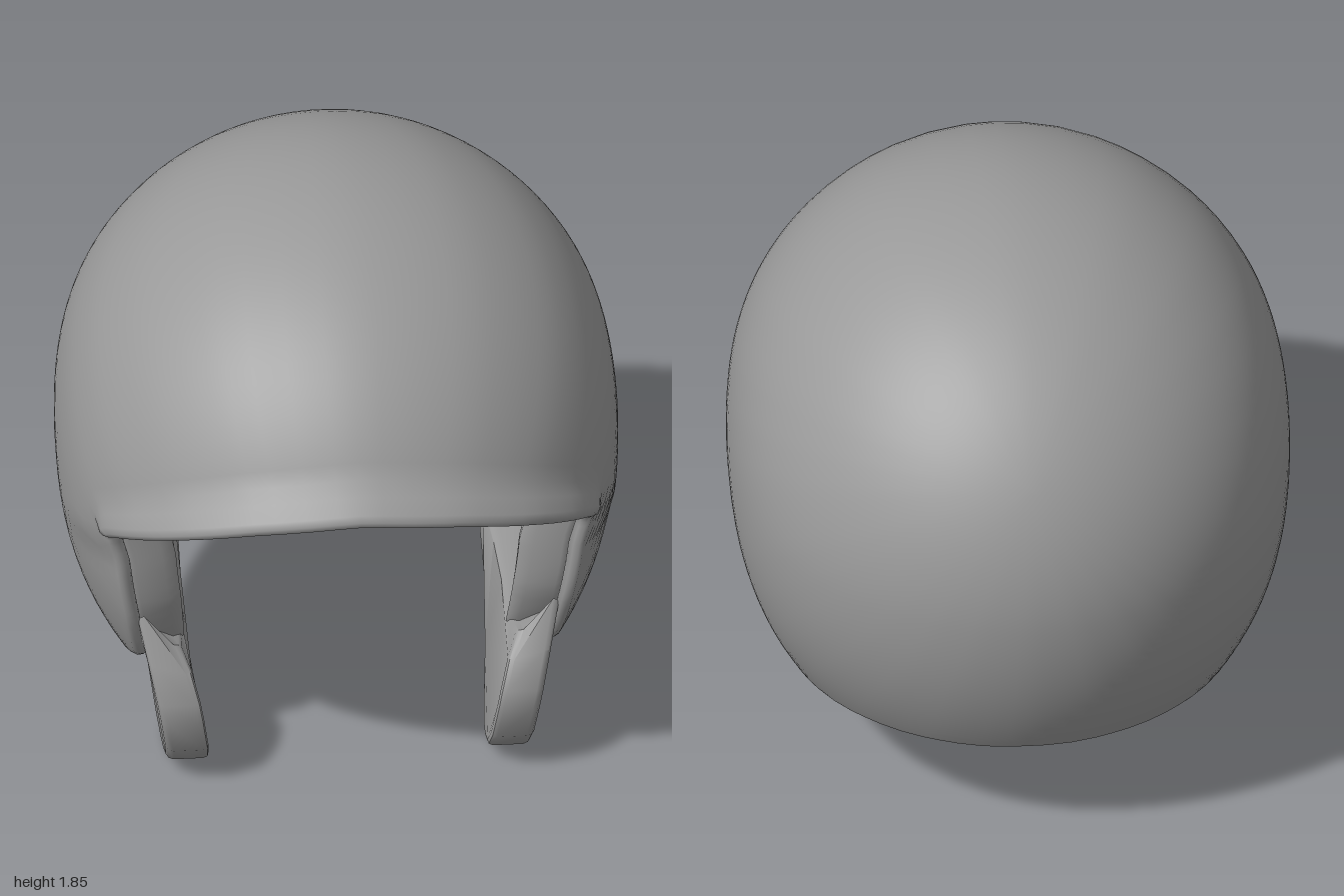
import * as THREE from 'three';
import { mergeVertices, toCreasedNormals } from 'three/addons/utils/BufferGeometryUtils.js';

const CY = 0.95, RX = 0.85, RY_TOP = 0.9, RY_LOW = 1.05;
const step = THREE.MathUtils.smoothstep;
const clamp = THREE.MathUtils.clamp;

// Half of the rim as [z, y], from the brim centre round the cheek to the nape
const HALF_RIM = [
  [0.943, 1.25], [0.9, 1.205], [0.8, 1.125], [0.68, 1.04], [0.57, 0.965],
  [0.55, 0.9], [0.545, 0.75], [0.52, 0.6], [0.42, 0.41], [0.28, 0.335],
  [0.1, 0.3], [-0.1, 0.315], [-0.4, 0.35], [-0.65, 0.385], [-0.8, 0.402], [-0.858, 0.41],
];

// Rim as directions on a unit sphere that is later stretched to the shell
function rimDirections() {
  const last = HALF_RIM.length - 1;
  const half = HALF_RIM.map(([z, y], i) => {
    const v = (y - CY) / (y > CY ? RY_TOP : RY_LOW);
    const x = i === 0 || i === last ? 0 : Math.sqrt(Math.max(0, 1 - v * v - z * z));
    return new THREE.Vector3(x, v, z);
  });
  const other = half.slice(1, -1).reverse().map((p) => new THREE.Vector3(-p.x, p.y, p.z));
  const all = [...half, ...other];
  const curve = new THREE.CatmullRomCurve3(all, true, 'catmullrom', 0.3);
  return curve.getPoints(all.length * 4).slice(0, -1).map((p) => p.normalize());
}

// Stretch a unit direction to the shell, with brim flare, recessed cheeks and front padding
function shellPoint(u, t, s) {
  const up = u.y > 0;
  const pad = clamp((0.93 - s) / 0.13, 0, 1);
  let x = u.x * RX * s * (1 + 0.045 * (1 - u.x ** 8));
  let y = CY + u.y * (up ? RY_TOP * s : RY_LOW);
  let z = u.z * (1 - (1 - s) * 0.6);
  x *= 1 - 0.11 * pad * step(z, 0, 0.45);
  y -= 0.045 * pad * step(z, 0.3, 0.75) * step(u.y, 0, 0.2);
  const line = 0.72 + 0.42 * z;
  const inset = 0.03 * step(line - y, 0, 0.13) * step(z, 0, 0.45);
  x *= 1 - inset;
  z *= 1 - inset * 0.3;
  if (s > 0.9 && up) {
    const flare = 0.057 * clamp((t - 0.95) / 0.037, 0, 1) * step(z, 0.3, 0.85);
    const r = Math.hypot(x, z) || 1;
    x += (x / r) * flare;
    z += (z / r) * flare;
  }
  return [x, y, z];
}

// Sweep rows of [t, scale] from a pole at the back of the head out to the rim
function domeGeometry(rows) {
  const pole = new THREE.Vector3(0, 0.5, -0.866).normalize();
  const rim = rimDirections();
  const n = rim.length;
  const pos = [], index = [];
  rows.forEach(([t, s], r) => {
    rim.forEach((d, i) => {
      const angle = pole.angleTo(d);
      const side = d.clone().addScaledVector(pole, -pole.dot(d)).normalize();
      const u = pole.clone().multiplyScalar(Math.cos(angle * t))
        .addScaledVector(side, Math.sin(angle * t));
      pos.push(...shellPoint(u, t, s));
      if (r === rows.length - 1) return;
      const j = (i + 1) % n;
      const a = r * n + i, b = a + n, c = (r + 1) * n + j, e = r * n + j;
      index.push(a, b, c, a, c, e);
    });
  });
  let geo = new THREE.BufferGeometry();
  geo.setAttribute('position', new THREE.Float32BufferAttribute(pos, 3));
  geo.setIndex(index);
  geo = mergeVertices(geo, 1e-5);
  geo.computeVertexNormals();
  return geo;
}

// Ear flap: rounded outline, bevelled, leaning inward, its inner top edge cut lower
function flapGeometry() {
  const outline = [
    [0.5, 0.6], [0.56, 0.45], [0.597, 0.33], [0.595, 0.26], [0.56, 0.14], [0.48, 0.055],
    [0.38, 0.01], [0.3, 0], [0.2, 0.03], [0.05, 0.12], [-0.1, 0.23], [-0.33, 0.345],
    [-0.3, 0.42], [-0.1, 0.42], [0.1, 0.42], [0.27, 0.45], [0.4, 0.51],
  ];
  const shape = new THREE.Shape(outline.map(([z, y]) => new THREE.Vector2(-z, y)));
  const geo = new THREE.ExtrudeGeometry(shape, {
    depth: 0.09, bevelEnabled: true, bevelThickness: 0.02, bevelSize: 0.018,
    bevelOffset: -0.018, bevelSegments: 2,
  });
  geo.translate(0, 0, -0.045).rotateY(Math.PI / 2);
  const p = geo.attributes.position;
  for (let i = 0; i < p.count; i++) {
    const x = p.getX(i), y = p.getY(i), z = p.getZ(i);
    p.setX(i, x + 0.49 + 0.17 * y - 0.14 * (z - 0.15) ** 2);
    if (x < 0 && y > 0.4) p.setY(i, 0.4 + (y - 0.4) * 0.45);
  }
  geo.deleteAttribute('uv');
  return toCreasedNormals(geo, 0.75);
}

export function createModel() {
  const model = new THREE.Group();
  model.name = 'openFaceHelmet';
  const material = new THREE.MeshStandardMaterial({ color: 0x999999, side: THREE.DoubleSide });
  const add = (geo, name) => {
    const mesh = new THREE.Mesh(geo, material);
    mesh.name = name;
    model.add(mesh);
    return mesh;
  };

  // Outer shell with a rolled lip
  const shellRows = [];
  for (let i = 0; i <= 38; i++) shellRows.push([i * 0.025, 1]);
  shellRows.push([0.968, 1], [0.987, 1], [0.998, 1], [1.005, 0.99], [1.006, 0.965], [1.0, 0.94], [0.9, 0.935]);
  add(domeGeometry(shellRows), 'outerShell');

  // Padded inner lining
  const liningRows = [[0.9, 0.935], [0.98, 0.935], [0.992, 0.92], [0.994, 0.85], [0.985, 0.81], [0.96, 0.8]];
  for (let i = 18; i >= 0; i--) liningRows.push([i * 0.05, 0.8]);
  add(domeGeometry(liningRows), 'innerLining');

  // Mirrored ear flaps
  const flap = flapGeometry();
  add(flap, 'leftEarFlap');
  add(flap, 'rightEarFlap').scale.x = -1;

  return model;
}
